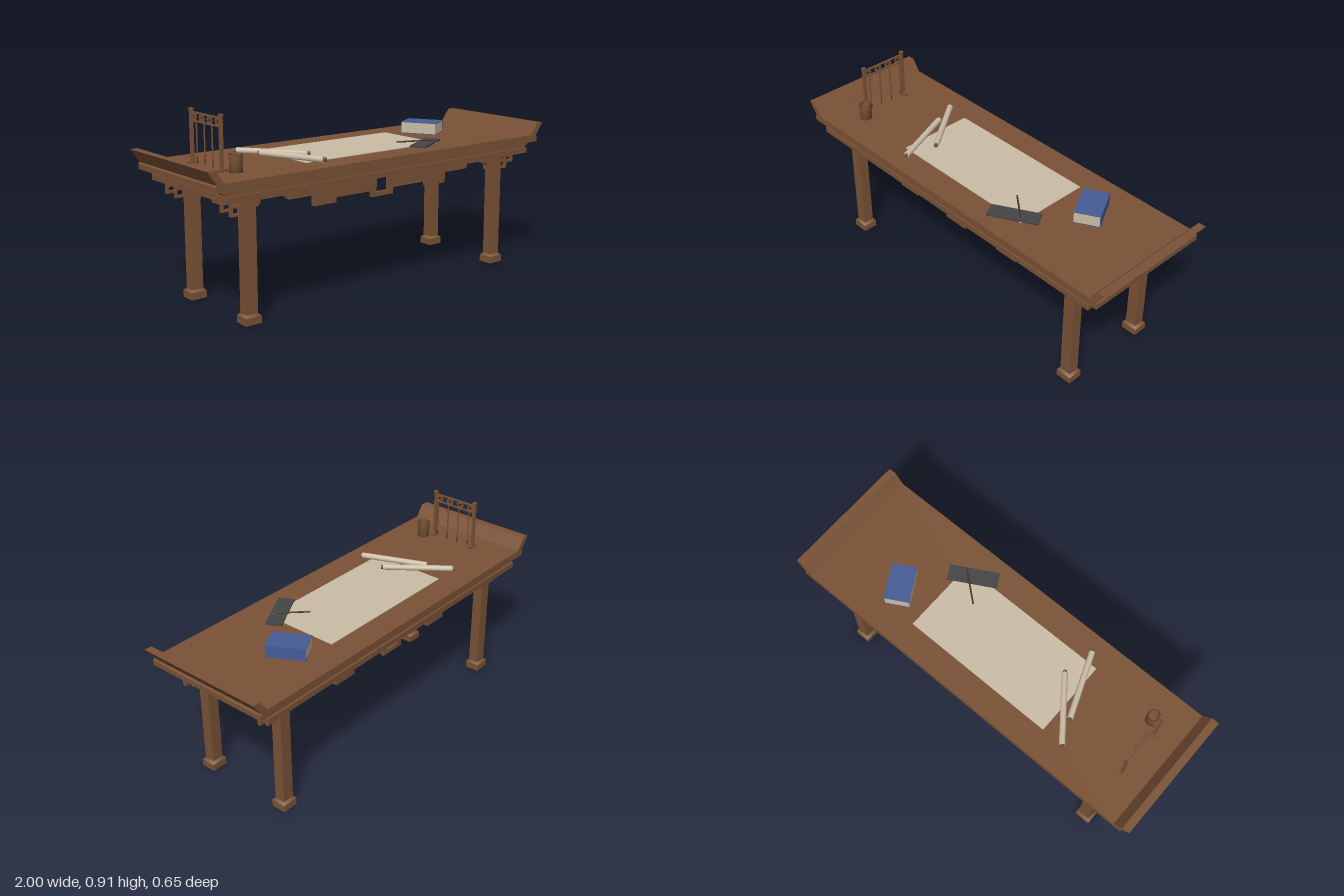
import * as THREE from 'three';

const mat = (name, color) => {
  const m = new THREE.MeshStandardMaterial({ color });
  m.name = name;
  return m;
};

export function createModel() {
  const wood = mat('wood', 0x7a5236);
  const paper = mat('paper', 0xcabda6);
  const blue = mat('bookCover', 0x465c98);
  const stone = mat('inkstone', 0x434546);
  const darkWood = mat('darkWood', 0x4a3020);
  const root = new THREE.Group();
  root.name = 'altarTable';

  const add = (name, geo, m, x = 0, y = 0, z = 0, parent = root) => {
    const mesh = new THREE.Mesh(geo, m);
    mesh.name = name;
    mesh.position.set(x, y, z);
    parent.add(mesh);
    return mesh;
  };
  const box = (name, w, h, d, m, x, y, z, parent) =>
    add(name, new THREE.BoxGeometry(w, h, d), m, x, y, z, parent);
  const group = (name, x = 0, y = 0, z = 0) => {
    const g = new THREE.Group();
    g.name = name;
    g.position.set(x, y, z);
    root.add(g);
    return g;
  };
  // Extrudes an xy outline, centred on z
  const plate = (pts, depth, holes = []) => {
    const s = new THREE.Shape(pts.map(p => new THREE.Vector2(...p)));
    for (const h of holes) s.holes.push(new THREE.Path(h.map(p => new THREE.Vector2(...p))));
    return new THREE.ExtrudeGeometry(s, { depth, bevelEnabled: false }).translate(0, 0, -depth / 2);
  };
  const rect = (x0, y0, x1, y1) => [[x0, y0], [x1, y0], [x1, y1], [x0, y1]];
  // Completes a right-hand outline with its mirror image
  const mirrored = half => [...half, ...half.map(([x, y]) => [-x, y]).reverse()];
  // Cylinder between two points
  const rod = (name, a, b, r, m, parent, r2 = r, sides = 12) => {
    const p = new THREE.Vector3(...a), q = new THREE.Vector3(...b), d = q.clone().sub(p);
    const mesh = add(name, new THREE.CylinderGeometry(r2, r, d.length(), sides), m, 0, 0, 0, parent);
    mesh.position.copy(p).add(q).multiplyScalar(0.5);
    mesh.quaternion.setFromUnitVectors(new THREE.Vector3(0, 1, 0), d.normalize());
    return mesh;
  };

  // Top board with upturned ends, undercut moulding and rail
  add('tableTop', plate(mirrored([[0.962, 0.62], [0.962, 0.645], [0.955, 0.652], [1, 0.715],
    [0.963, 0.715], [0.92, 0.657]]), 0.65), wood);
  add('undercutMoulding', plate(mirrored([[0.89, 0.59], [0.90, 0.597], [0.94, 0.621]]), 0.60), wood);
  box('underRail', 1.81, 0.027, 0.62, wood, 0, 0.5795, 0);

  // Stepped long aprons
  const longHalf = [[0.065, 0.46], [0.065, 0.49], [0.275, 0.49], [0.275, 0.467], [0.40, 0.467],
    [0.40, 0.518], [0.54, 0.518], [0.55, 0.526], [0.553, 0.54], [0.685, 0.54], [0.689, 0.525],
    [0.70, 0.513], [0.73, 0.513], [0.73, 0.57]];
  // End aprons with open corner brackets
  const endHalf = [[0.04, 0.489], [0.04, 0.509], [0.165, 0.509], [0.165, 0.48], [0.205, 0.48], [0.205, 0.57]];
  for (const s of [1, -1]) {
    add('longApron', plate(mirrored(longHalf), 0.02, [rect(-0.037, 0.48, 0.037, 0.545)]), wood, 0, 0, s * 0.226);
    const end = add('endApron', plate(mirrored(endHalf), 0.02,
      [rect(0.178, 0.5, 0.2, 0.548), rect(-0.2, 0.5, -0.178, 0.548)]), wood, s * 0.75, 0, 0);
    end.rotation.y = Math.PI / 2;
  }

  // Legs, stepped feet and outer fretwork brackets
  for (const sx of [1, -1]) for (const sz of [1, -1]) {
    const leg = group('leg', sx * 0.75, 0, sz * 0.226);
    box('legPost', 0.058, 0.54, 0.052, wood, 0, 0.3, 0, leg);
    box('foot', 0.08, 0.034, 0.074, wood, 0, 0.017, 0, leg);
    const taper = new THREE.CylinderGeometry(0.029 * Math.SQRT2, 0.04 * Math.SQRT2, 0.011, 4, 1).rotateY(Math.PI / 4);
    add('footBevel', taper.toNonIndexed(), wood, 0, 0.0395, 0, leg).scale.z = 0.92;
    taper.computeVertexNormals();

    const fret = group('fretBracket', 0, 0, sz * 0.228);
    const frame = (x0, y0, x1, y1, t) => {
      const g = plate(rect(x0, y0, x1, y1), 0.016, [rect(x0 + t, y0 + t, x1 - t, y1 - t)]);
      const m = add('fretLoop', g, wood, 0, 0, 0, fret);
      if (sx < 0) m.rotation.y = Math.PI;
    };
    frame(0.827, 0.512, 0.882, 0.553, 0.011);
    frame(0.784, 0.485, 0.838, 0.532, 0.011);
    box('fretTie', 0.05, 0.01, 0.016, wood, sx * 0.803, 0.548, 0, fret);
    box('fretHanger', 0.011, 0.04, 0.016, wood, sx * 0.833, 0.555, 0, fret);
  }

  // Brush rack
  const rack = group('brushRack', -0.803, 0, 0);
  for (const s of [1, -1]) {
    box('rackPost', 0.014, 0.24, 0.014, wood, 0, 0.777, s * 0.12, rack);
    box('rackCap', 0.018, 0.008, 0.019, wood, 0, 0.902, s * 0.12, rack);
    box('rackFoot', 0.056, 0.012, 0.02, wood, 0, 0.663, s * 0.12, rack);
  }
  box('rackTopRail', 0.008, 0.008, 0.24, wood, 0, 0.888, 0, rack);
  box('rackLowerRail', 0.008, 0.007, 0.24, wood, 0, 0.851, 0, rack);
  const ring = plate(rect(-0.015, -0.013, 0.015, 0.013), 0.008, [rect(-0.009, -0.008, 0.009, 0.008)]).rotateY(Math.PI / 2);
  for (let i = 0; i < 4; i++) {
    const z = -0.096 + i * 0.064;
    add('rackRing', ring, wood, 0, 0.87, z, rack);
    for (const s of [1, -1]) box('ringPin', 0.006, 0.005, 0.008, wood, 0, 0.87, z + s * 0.018, rack);
    box('ringStem', 0.006, 0.008, 0.006, wood, 0, 0.884, z, rack);
    rod('hangingBrush', [0.011, 0.69, z], [0.011, 0.855, z], 0.0035, wood, rack, 0.0035, 8);
    rod('hangingBrushTip', [0.011, 0.66, z], [0.011, 0.69, z], 0.001, darkWood, rack, 0.0035, 8);
  }

  // Brush pot
  const pot = [[0, 0.657], [0.03, 0.657], [0.03, 0.735], [0.026, 0.735], [0.026, 0.665], [0, 0.665]];
  const potGeo = new THREE.LatheGeometry(pot.map(p => new THREE.Vector2(...p)), 24);
  add('brushPot', potGeo, wood, -0.757, 0, 0.16);

  // Paper sheet and rolled scrolls
  box('paperSheet', 0.795, 0.003, 0.385, paper, -0.013, 0.6585, -0.003);
  const scroll = (x0, z0, x1, z1) => {
    const g = group('scroll'), y = 0.672;
    const at = t => [x0 + (x1 - x0) * t, y, z0 + (z1 - z0) * t];
    rod('scrollRoll', at(0.03), at(0.97), 0.0145, paper, g, 0.0145, 16);
    rod('scrollCore', at(0), at(1), 0.010, wood, g, 0.010, 12);
  };
  scroll(-0.528, -0.205, -0.308, 0.085);
  scroll(-0.475, -0.087, -0.342, 0.247);

  // Book with its spine on the right
  const book = group('book', 0.549, 0.657, -0.093);
  book.rotation.y = 0.51;
  box('bookPages', 0.119, 0.053, 0.18, paper, -0.0015, 0.0295, 0, book);
  for (const y of [0.0015, 0.0575]) box('bookCover', 0.122, 0.003, 0.182, blue, 0, y, 0, book);
  box('bookSpine', 0.003, 0.056, 0.182, blue, 0.0595, 0.0295, 0, book);

  // Inkstone with a brush resting on it
  const ink = box('inkstone', 0.24, 0.009, 0.078, stone, 0.326, 0.6625, 0.172);
  ink.rotation.y = 0.51;
  rod('writingBrush', [0.235, 0.662, 0.065], [0.345, 0.671, 0.155], 0.004, darkWood, root, 0.004, 8);
  rod('writingBrushTip', [0.345, 0.671, 0.155], [0.375, 0.672, 0.18], 0.005, darkWood, root, 0.001, 8);

  return root;
}
